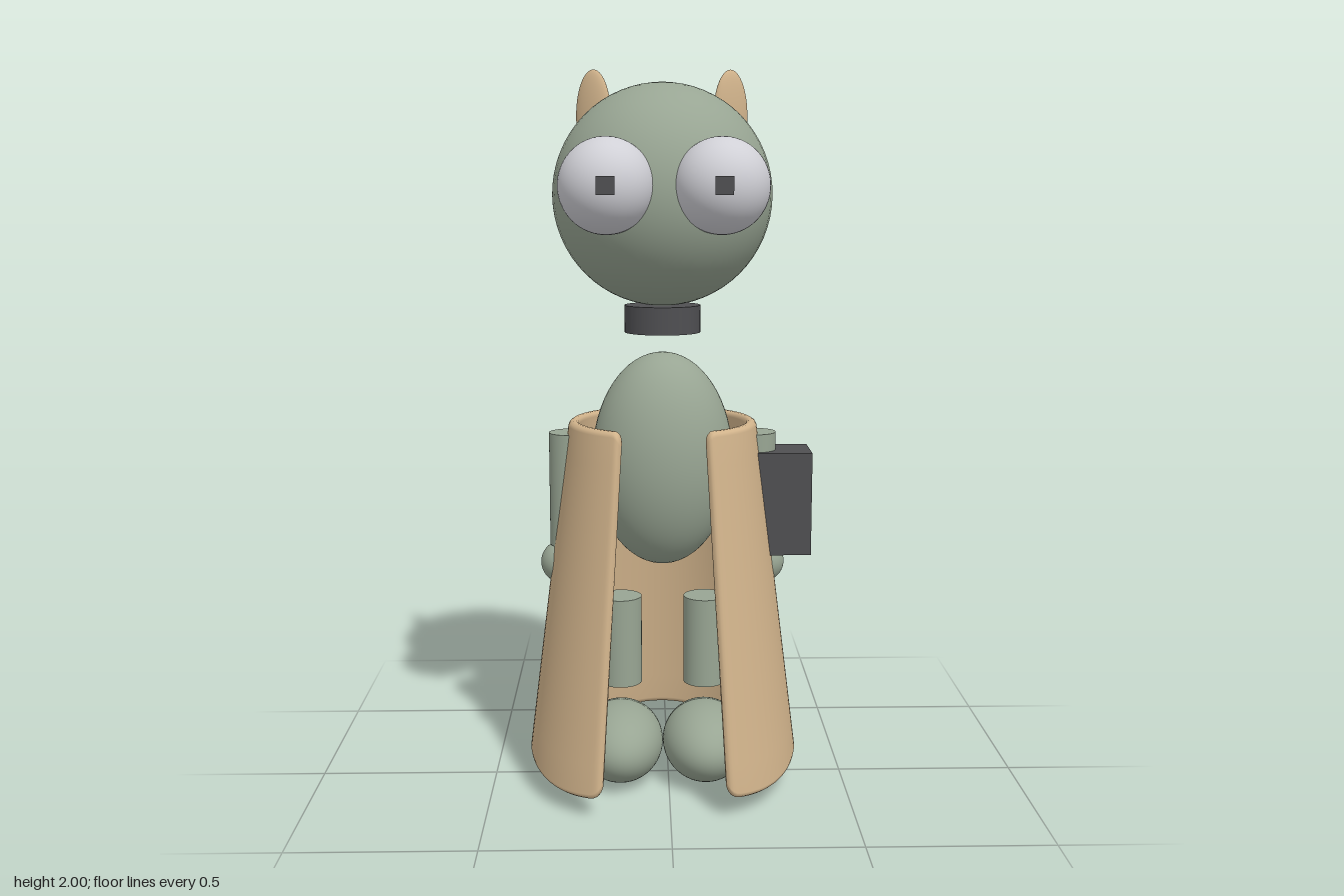
import * as THREE from 'three';

const paint = (name, color) => {
  const m = new THREE.MeshStandardMaterial({ color });
  m.name = name;
  return m;
};

// Thick robe wrapped round the body, open at the front, with a wavy hem
function robeGeometry() {
  const half = 0.015, corner = 0.03, open = THREE.MathUtils.degToRad(27);
  const yTop = 1.047, rTop = 0.246, rHem = 0.371;
  const sweep = 2 * Math.PI - 2 * open;

  // Columns round the body, closer together at the two rounded front edges
  const edge = [0, 0.002, 0.006, 0.012, 0.02, 0.03].map((d) => d / 0.32);
  const cols = [...edge];
  for (let i = 1; i < 90; i++) cols.push(edge[5] + ((sweep - 2 * edge[5]) * i) / 90);
  for (const e of [...edge].reverse()) cols.push(sweep - e);

  // Cross-section loop: [height share, side, inset from the rim], outside up then inside down
  const loop = [];
  const arc = 5, rows = 12;
  for (let k = 0; k <= rows; k++) loop.push([k / rows, 0]);
  for (let k = 1; k < arc; k++) loop.push([1, (k / arc) * Math.PI]);
  for (let k = rows; k >= 0; k--) loop.push([k / rows, Math.PI]);
  for (let k = 1; k < arc; k++) loop.push([0, Math.PI + (k / arc) * Math.PI]);

  const pos = [], index = [], n = loop.length;
  cols.forEach((c, i) => {
    const a = open + c;
    const d = Math.min(c, sweep - c) * 0.32;
    const e = Math.max(0, 1 - d / half), f = Math.max(0, 1 - d / corner);
    const h = half * Math.sqrt(Math.max(0, 1 - e * e));
    const cut = corner * (1 - Math.sqrt(Math.max(0, 1 - f * f)));
    const low = 0.07 + 0.014 * Math.cos(4 * a) + cut + half, high = yTop - cut - half;
    for (const [t, phi] of loop) {
      const y = low + (high - low) * t + h * Math.sin(phi);
      const r = rHem + (rTop - rHem) * ((y - 0.06) / (yTop - 0.06)) + h * Math.cos(phi);
      pos.push(r * Math.sin(a), y, r * Math.cos(a));
    }
    if (i === 0) return;
    for (let j = 0; j < n; j++) {
      const k = (j + 1) % n, p = (i - 1) * n, q = i * n;
      index.push(p + j, q + j, p + k, q + j, q + k, p + k);
    }
  });
  const g = new THREE.BufferGeometry();
  g.setAttribute('position', new THREE.Float32BufferAttribute(pos, 3));
  g.setIndex(index);
  g.computeVertexNormals();
  return g;
}

export function createModel() {
  const skin = paint('sage skin', 0x98a593);
  const cloth = paint('tan cloth', 0xd2b48c);
  const metal = paint('charcoal', 0x4f4f52);
  const white = paint('eye white', 0xd0d0d6);

  const model = new THREE.Group();
  const figure = new THREE.Group();
  figure.name = 'figure';
  figure.position.x = -0.016;
  model.add(figure);

  const add = (name, geometry, material, x, y, z) => {
    const mesh = new THREE.Mesh(geometry, material);
    mesh.name = name;
    mesh.position.set(x, y, z);
    figure.add(mesh);
    return mesh;
  };
  const ball = (rx, ry, rz) => new THREE.SphereGeometry(1, 48, 32).scale(rx, ry, rz);
  const rod = (r, h) => new THREE.CylinderGeometry(r, r, h, 40);

  // Head, neck and body
  add('head', ball(0.3, 0.3, 0.3), skin, 0, 1.664, 0);
  add('neck', rod(0.105, 0.075), metal, 0, 1.328, 0);
  add('body', ball(0.197, 0.301, 0.17), skin, 0, 0.934, 0);

  // Paired parts
  for (const [side, s] of [['left', 1], ['right', -1]]) {
    add(side + 'Eye', ball(0.124, 0.124, 0.124), white, s * 0.148, 1.688, 0.262);
    add(side + 'Pupil', new THREE.BoxGeometry(0.046, 0.046, 0.009), metal, s * 0.147, 1.688, 0.383);
    const ear = add(side + 'Ear', ball(0.055, 0.125, 0.02), cloth, s * 0.187, 1.875, -0.043);
    ear.rotation.y = s * 0.54;
    add(side + 'Arm', rod(0.06, 0.32), skin, s * 0.258, 0.85, 0);
    add(side + 'Hand', ball(0.06, 0.06, 0.06), skin, s * 0.285, 0.637, 0);
    add(side + 'Leg', rod(0.06, 0.255), skin, s * 0.12, 0.408, 0);
    add(side + 'Foot', ball(0.121, 0.108, 0.18), skin, s * 0.121, 0.112, 0.025);
  }

  // Block worn on the left forearm
  add('armBlock', new THREE.BoxGeometry(0.2, 0.29, 0.145), metal, 0.314, 0.815, 0);

  add('robe', robeGeometry(), cloth, 0, 0, 0);
  return model;
}
